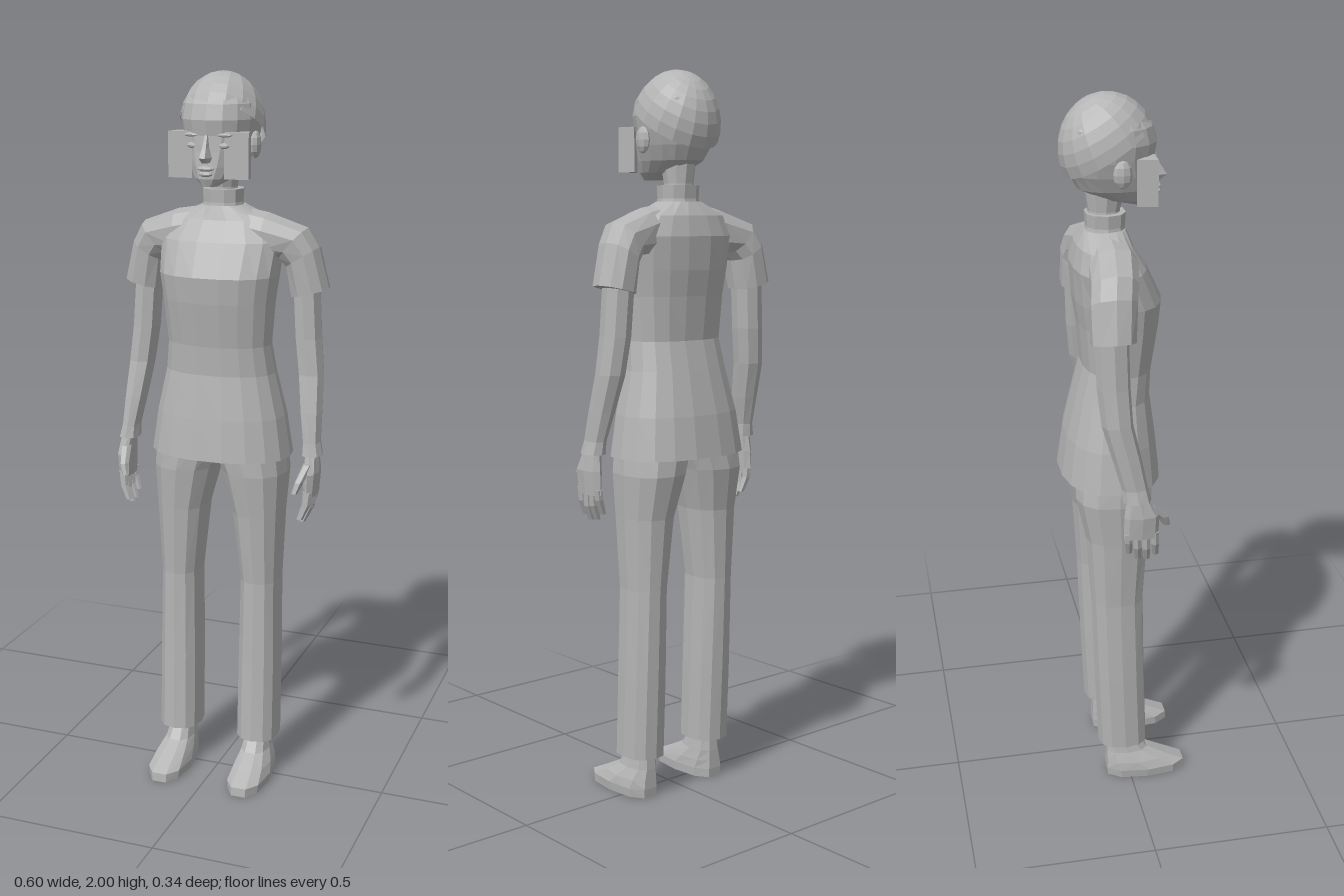
import * as THREE from 'three';

const grey = new THREE.MeshStandardMaterial({ color: 0xb4b4b4, flatShading: true, side: THREE.DoubleSide });
grey.name = 'plain grey';

// Lofted solid. Each ring is [xOuter, yOuter, xInner, yInner, zFront, zBack],
// listed from bottom to top; p below 1 makes the cross-section squarer.
function loft(rings, n = 10, p = 0.85) {
  const pow = (v) => Math.sign(v) * Math.abs(v) ** p;
  const pos = [], idx = [];
  for (const [xa, ya, xb, yb, zf, zb] of rings) {
    for (let j = 0; j < n; j++) {
      const a = (j / n) * Math.PI * 2;
      const c = pow(Math.cos(a)) / 2, s = pow(Math.sin(a)) / 2;
      pos.push((xa + xb) / 2 + (xa - xb) * c, (ya + yb) / 2 + (ya - yb) * c, (zf + zb) / 2 + (zf - zb) * s);
    }
  }
  const last = (rings.length - 1) * n, mid = rings.length * n;
  for (const [xa, ya, xb, yb, zf, zb] of [rings[0], rings[rings.length - 1]]) {
    pos.push((xa + xb) / 2, (ya + yb) / 2, (zf + zb) / 2);
  }
  for (let j = 0; j < n; j++) {
    const k = (j + 1) % n;
    for (let r = 0; r < last; r += n) {
      idx.push(r + j, r + n + j, r + n + k, r + j, r + n + k, r + k);
    }
    idx.push(mid, j, k, mid + 1, last + k, last + j);
  }
  const g = new THREE.BufferGeometry();
  g.setAttribute('position', new THREE.Float32BufferAttribute(pos, 3));
  g.setIndex(idx);
  g.computeVertexNormals();
  return g;
}

// Level rings: centred [y, halfWidth, zFront, zBack] or sided [y, xOuter, xInner, zFront, zBack]
const centred = (rows, n, p) => loft(rows.map(([y, r, f, b]) => [r, y, -r, y, f, b]), n, p);
const sided = (rows, n, p) => loft(rows.map(([y, o, i, f, b]) => [o, y, i, y, f, b]), n, p);

// Copy a geometry to the other side, keeping its faces outward
function mirror(geo) {
  const g = geo.clone().scale(-1, 1, 1);
  const ix = g.index.array;
  for (let i = 0; i < ix.length; i += 3) [ix[i + 1], ix[i + 2]] = [ix[i + 2], ix[i + 1]];
  g.computeVertexNormals();
  return g;
}

function ball(sx, sy, sz, x, y, z) {
  return new THREE.SphereGeometry(1, 8, 6).scale(sx, sy, sz).translate(x, y, z);
}

export function createModel() {
  const model = new THREE.Group();
  model.name = 'figure';
  const add = (name, geo) => {
    const m = new THREE.Mesh(geo, grey);
    m.name = name;
    model.add(m);
  };
  const pair = (name, geo) => {
    add(name + 'Left', geo);
    add(name + 'Right', mirror(geo));
  };

  // Shirt body, collar and neck
  add('shirt', centred([
    [0.965, 0.2, 0.1, -0.175], [1.08, 0.183, 0.088, -0.158], [1.2, 0.155, 0.072, -0.13],
    [1.28, 0.145, 0.076, -0.11], [1.4, 0.155, 0.095, -0.12], [1.47, 0.165, 0.102, -0.13],
    [1.56, 0.172, 0.06, -0.135], [1.615, 0.14, 0.025, -0.122], [1.652, 0.06, 0.012, -0.1],
  ], 18));
  add('collar', centred([[1.63, 0.06, 0.014, -0.1], [1.66, 0.054, 0.01, -0.094], [1.695, 0.056, 0.012, -0.096]], 10));
  add('neck', centred([[1.64, 0.044, 0, -0.09], [1.7, 0.038, -0.002, -0.088], [1.78, 0.045, 0.02, -0.1]], 10, 1));

  // Short sleeves sloping out of the shoulders
  pair('sleeve', loft([
    [0.293, 1.435, 0.19, 1.41, -0.008, -0.125], [0.265, 1.545, 0.178, 1.49, 0, -0.125],
    [0.235, 1.597, 0.16, 1.51, 0.008, -0.118], [0.13, 1.635, 0.12, 1.5, 0.025, -0.108],
    [0.05, 1.648, 0.05, 1.52, 0.02, -0.1],
  ], 10));

  // Bare arms
  pair('arm', sided([
    [0.985, 0.3, 0.244, 0.028, -0.048], [1.02, 0.292, 0.245, 0.02, -0.05], [1.1, 0.29, 0.23, 0.005, -0.072],
    [1.2, 0.286, 0.215, -0.017, -0.1], [1.3, 0.276, 0.202, -0.022, -0.11], [1.46, 0.266, 0.192, -0.025, -0.115],
  ], 8));

  // Hands with four curled fingers and a thumb
  pair('palm', sided([
    [0.875, 0.29, 0.258, 0.048, -0.045], [0.94, 0.296, 0.256, 0.05, -0.045], [1.01, 0.288, 0.255, 0.015, -0.035],
  ], 8));
  for (let i = 0; i < 4; i++) {
    const z = 0.038 - i * 0.024, tip = 0.8 + [0.012, 0, 0.004, 0.022][i];
    pair('finger' + (i + 1), sided([
      [tip, 0.264, 0.246, z + 0.015, z - 0.003], [tip + 0.04, 0.283, 0.258, z + 0.013, z - 0.01],
      [0.89, 0.288, 0.26, z + 0.011, z - 0.011],
    ], 6));
  }
  pair('thumb', sided([
    [0.895, 0.258, 0.24, 0.086, 0.066], [0.925, 0.27, 0.246, 0.08, 0.045], [0.965, 0.284, 0.256, 0.04, 0],
  ], 6));

  // Trouser legs
  pair('trouserLeg', sided([
    [0.118, 0.18, 0.06, 0.052, -0.09], [0.35, 0.179, 0.061, 0.045, -0.1], [0.6, 0.175, 0.065, 0.04, -0.108],
    [0.8, 0.184, 0.042, 0.055, -0.12], [0.92, 0.192, 0.01, 0.068, -0.145], [1, 0.185, -0.02, 0.07, -0.14],
  ], 12));

  // Bare feet
  pair('foot', sided([
    [0, 0.175, 0.068, 0.17, -0.07], [0.025, 0.178, 0.066, 0.168, -0.072], [0.05, 0.172, 0.07, 0.115, -0.07],
    [0.08, 0.158, 0.078, 0.055, -0.068], [0.14, 0.146, 0.088, 0.01, -0.062],
  ], 10, 0.8));

  // Head, with a narrow chin and a rounded skull
  add('head', centred([
    [1.71, 0.022, 0.088, 0.04], [1.73, 0.05, 0.096, -0.05], [1.76, 0.07, 0.095, -0.115],
    [1.8, 0.086, 0.09, -0.138], [1.84, 0.097, 0.087, -0.15], [1.88, 0.104, 0.093, -0.155],
    [1.92, 0.1, 0.082, -0.148], [1.96, 0.078, 0.045, -0.118], [1.985, 0.04, 0, -0.075],
  ], 16, 0.92));

  // Hair cap tilted back to give a high front hairline
  const hair = new THREE.SphereGeometry(1, 16, 7, 0, Math.PI * 2, 0, 1.6);
  add('hair', hair.rotateX(-0.5).scale(0.114, 0.141, 0.127).translate(0, 1.86, -0.035));

  // Face features
  add('nose', centred([
    [1.772, 0.014, 0.108, 0.05], [1.785, 0.016, 0.125, 0.05], [1.81, 0.01, 0.108, 0.05], [1.842, 0.007, 0.092, 0.05],
  ], 6, 1));
  add('upperLip', ball(0.024, 0.007, 0.012, 0, 1.757, 0.094));
  add('lowerLip', ball(0.02, 0.007, 0.012, 0, 1.743, 0.094));
  pair('eye', ball(0.018, 0.008, 0.01, 0.042, 1.815, 0.074));
  pair('brow', ball(0.025, 0.006, 0.012, 0.044, 1.842, 0.073));
  pair('ear', ball(0.014, 0.036, 0.025, 0.1, 1.814, -0.014));

  // Upright wedge plates beside the cheeks
  const wedge = new THREE.Shape([
    new THREE.Vector2(0.1, -0.022), new THREE.Vector2(0.045, -0.075), new THREE.Vector2(0.112, -0.075),
  ]);
  const plate = new THREE.ExtrudeGeometry(wedge, { depth: 0.12, bevelEnabled: false });
  plate.rotateX(-Math.PI / 2).translate(0, 1.73, 0);
  plate.setIndex([...Array(plate.attributes.position.count).keys()]);
  pair('cheekPlate', plate);

  return model;
}
